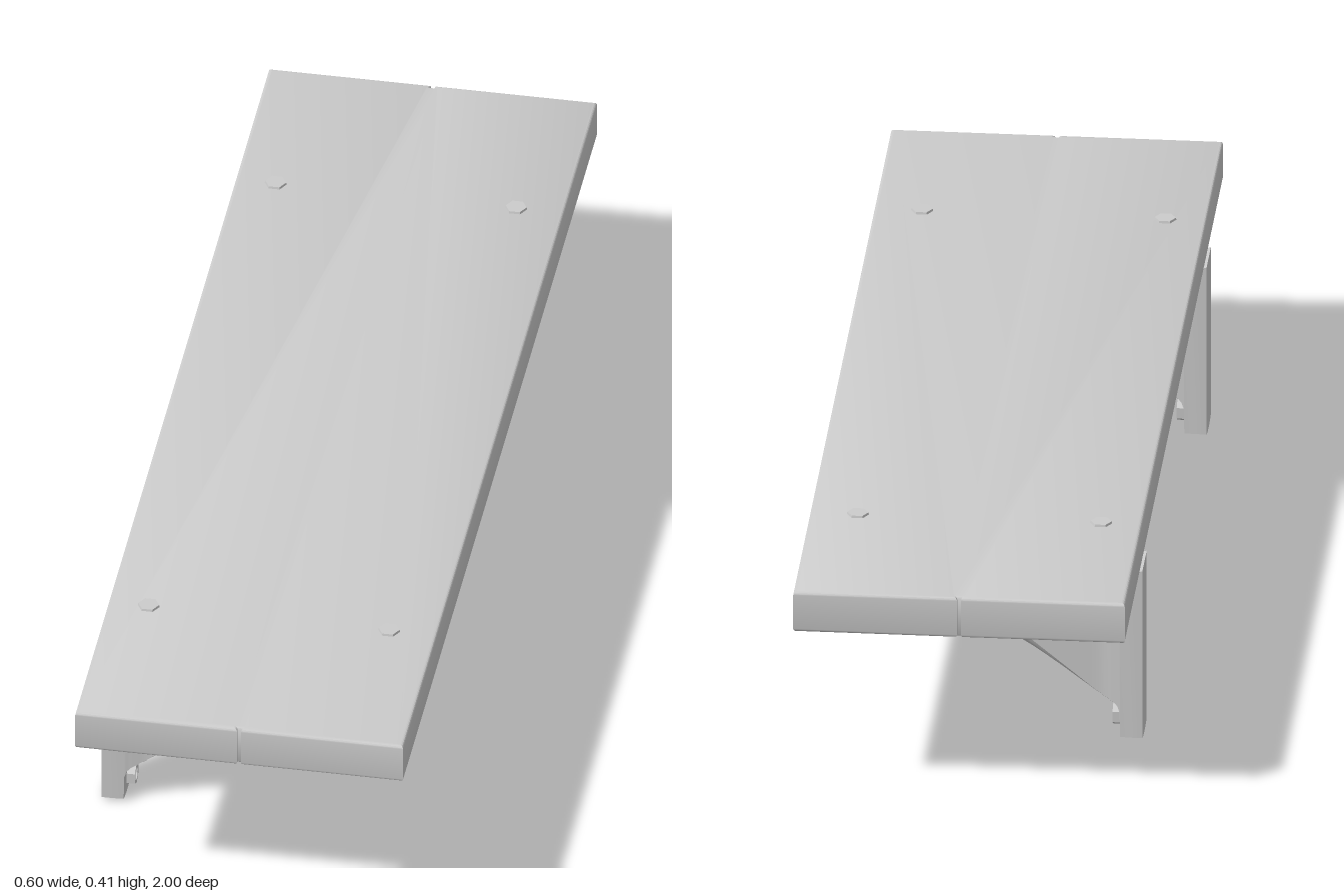
import * as THREE from 'three';
import { toCreasedNormals } from 'three/addons/utils/BufferGeometryUtils.js';

const grey = new THREE.MeshStandardMaterial({ color: 0xcccccc });

function mesh(geometry, name, parent) {
  const m = new THREE.Mesh(geometry, grey);
  m.name = name;
  parent.add(m);
  return m;
}

// Board outline in plan, with a small seam notch in each end and rounded edges
function boardGeometry() {
  const b = 0.006, w = 0.298 - b, l = 1 - b, n = 0.0095, d = 0.006;
  const shape = new THREE.Shape([
    [-w, -l], [-n, -l], [-n, -l + d], [n, -l + d], [n, -l], [w, -l],
    [w, l], [n, l], [n, l - d], [-n, l - d], [-n, l], [-w, l],
  ].map(([x, y]) => new THREE.Vector2(x, y)));
  const g = new THREE.ExtrudeGeometry(shape, {
    depth: 0.078 - 2 * b, bevelThickness: b, bevelSize: b, bevelSegments: 4,
  });
  g.rotateX(-Math.PI / 2).translate(0.001, 0.328 + b, 0);
  return toCreasedNormals(g, 0.6);
}

// Stations along x: [x, underside y, height of the rounded underside, half width]
const lower = new THREE.SplineCurve([
  [-0.25, 0.065], [-0.2, 0.098], [-0.1, 0.166], [0, 0.218], [0.1, 0.255], [0.2, 0.28], [0.26, 0.29],
].map(([x, y]) => new THREE.Vector2(x, y)));

function bracketStations() {
  const top = 0.33;
  const s = [
    [-0.302, 0, 0.006, 0.045], [-0.28, 0, 0.006, 0.045], [-0.262, 0, 0.006, 0.043],
    [-0.261, 0.045, 0.008, 0.043], [-0.257, 0.057, 0.008, 0.042],
  ];
  for (let i = 0; i <= 28; i++) {
    const { x, y } = lower.getPoint(i / 28);
    const toTip = THREE.MathUtils.smoothstep(x, 0.02, 0.16);
    const web = 0.042 - 0.005 * THREE.MathUtils.smoothstep(x, -0.26, -0.22);
    // The crease climbs in a straight line to the board, then drops at the tip
    const crease = x < 0.07
      ? 0.068 + (x + 0.25) * (top - 0.068) / 0.32
      : Math.max(top - (x - 0.07) * 0.7, y + 0.014);
    s.push([x, y, Math.max(0.008, Math.min(crease, top - 0.001) - y), web + (0.045 - web) * toTip]);
  }
  s.push([0.271, 0.294, 0.012, 0.044], [0.274, 0.302, 0.01, 0.043]);
  return s;
}

// Skin of the bracket from closed cross-sections, with both ends capped
function bracketGeometry() {
  const stations = bracketStations(), arc = 12, pos = [], index = [];
  const n = arc + 3;
  for (const [x, y, r, w] of stations) {
    const top = x < -0.297 ? 0.334 : 0.33;
    pos.push(x, top, w);
    for (let k = 0; k <= arc; k++) {
      const t = (k / arc * 2 - 1) * 1.2;
      const drop = (Math.cos(t) - Math.cos(1.2)) / (1 - Math.cos(1.2));
      pos.push(x, y + r * (1 - drop), -w * Math.sin(t) / Math.sin(1.2));
    }
    pos.push(x, top, -w);
  }
  for (let i = 0; i < stations.length - 1; i++) {
    for (let k = 0; k < n; k++) {
      const a = i * n + k, b = i * n + (k + 1) % n;
      index.push(a, b, b + n, a, b + n, a + n);
    }
  }
  const last = (stations.length - 1) * n;
  for (let k = 1; k < n - 1; k++) {
    index.push(0, k + 1, k, last, last + k, last + k + 1);
  }
  const g = new THREE.BufferGeometry();
  g.setAttribute('position', new THREE.Float32BufferAttribute(pos, 3));
  g.setIndex(index);
  return toCreasedNormals(g, 0.45);
}

// Hexagonal nut with a bore, standing along +y from the origin
function nutGeometry(height) {
  const shape = new THREE.Shape();
  for (let i = 0; i < 6; i++) {
    const a = i * Math.PI / 3;
    shape[i ? 'lineTo' : 'moveTo'](0.0205 * Math.cos(a), 0.0205 * Math.sin(a));
  }
  shape.closePath();
  shape.holes.push(new THREE.Path().absarc(0, 0, 0.012, 0, Math.PI * 2, true));
  const g = new THREE.ExtrudeGeometry(shape, { depth: height, bevelEnabled: false, curveSegments: 16 });
  return toCreasedNormals(g.rotateX(-Math.PI / 2), 0.6);
}

export function createModel() {
  const model = new THREE.Group();
  model.name = 'wallShelf';
  mesh(boardGeometry(), 'board', model);

  const bracketGeo = bracketGeometry();
  const nutGeo = nutGeometry(0.025);
  const shaftGeo = new THREE.CylinderGeometry(0.012, 0.012, 0.02, 16).translate(0, 0.01, 0);
  const headGeo = toCreasedNormals(
    new THREE.CylinderGeometry(0.019, 0.0205, 0.006, 6, 1, false, Math.PI / 6), 0.3);

  for (const z of [-0.655, 0.655]) {
    const support = new THREE.Group();
    support.name = z > 0 ? 'frontSupport' : 'backSupport';
    support.position.z = z;
    model.add(support);
    mesh(bracketGeo, 'bracket', support);

    // Bolt heads on the board
    for (const x of [-0.224, 0.213]) {
      mesh(headGeo, 'boltHead', support).position.set(x, 0.407, 0);
    }

    // Nuts under the tip and at the foot of the wall plate
    const tip = new THREE.Group(), foot = new THREE.Group();
    tip.name = 'tipNut';
    tip.position.set(0.213, 0.293, 0);
    tip.rotation.x = Math.PI;
    foot.name = 'footNut';
    foot.position.set(-0.271, 0.033, 0);
    foot.rotation.z = -Math.PI / 2;
    for (const part of [tip, foot]) {
      mesh(nutGeo, 'nut', part);
      mesh(shaftGeo, 'boltShaft', part);
      support.add(part);
    }
  }
  return model;
}
